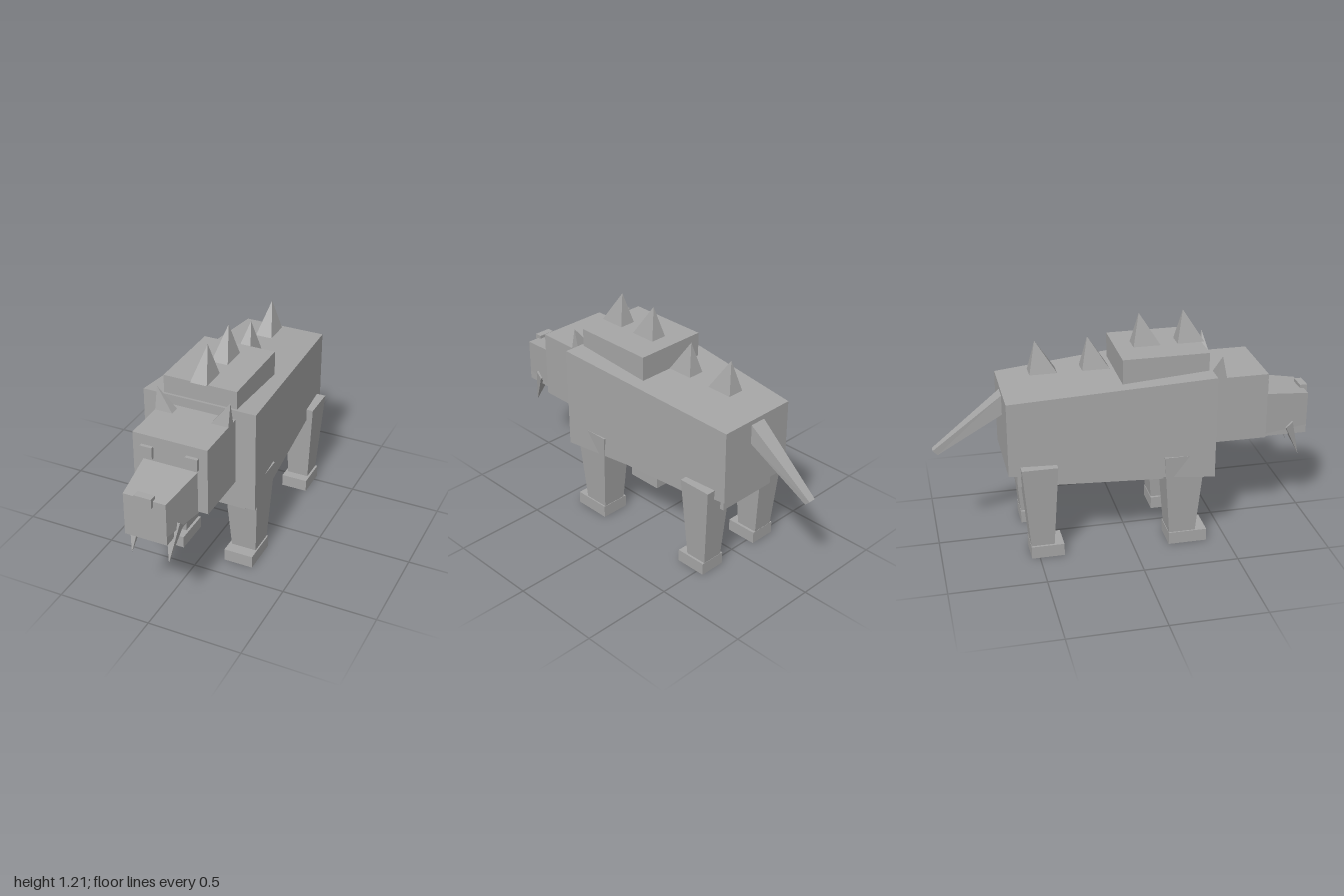
import * as THREE from 'three';

const hide = new THREE.MeshStandardMaterial({ color: 0xa6a6a6, flatShading: true });
hide.name = 'grey hide';

// Unit box whose corners are moved by a rule
function shapedBox(rule) {
  const g = new THREE.BoxGeometry(1, 1, 1);
  const p = g.attributes.position;
  for (let i = 0; i < p.count; i++) {
    p.setXYZ(i, ...rule(p.getX(i) > 0, p.getY(i) > 0, p.getZ(i) > 0));
  }
  g.computeVertexNormals();
  return g;
}

// Box tapering along z; each end is [halfWidth, bottom, top, zBottom, zTop]
function lengthwise(front, back) {
  return shapedBox((right, up, fore) => {
    const [w, y0, y1, zb, zt = zb] = fore ? front : back;
    return [right ? w : -w, up ? y1 : y0, up ? zt : zb];
  });
}

// Box tapering along y; each end is [y, xMin, xMax, zMin, zMax]
function upright(bottom, top) {
  return shapedBox((right, up, fore) => {
    const [y, x0, x1, z0, z1] = up ? top : bottom;
    return [right ? x1 : x0, y, fore ? z1 : z0];
  });
}

// Four-sided pyramid from base corners and a tip, wound outward
function pyramid(base, tip) {
  const b = base.map((c) => new THREE.Vector3(...c));
  const t = new THREE.Vector3(...tip);
  const n = b[1].clone().sub(b[0]).cross(b[2].clone().sub(b[0]));
  if (n.dot(t.clone().sub(b[0])) < 0) b.reverse();
  const pts = [b[0], b[2], b[1], b[0], b[3], b[2]];
  for (let i = 0; i < 4; i++) pts.push(b[i], b[(i + 1) % 4], t);
  const g = new THREE.BufferGeometry().setFromPoints(pts);
  g.computeVertexNormals();
  return g;
}

export function createModel() {
  const model = new THREE.Group();
  model.name = 'spikedBeast';
  const add = (name, geometry) => {
    const mesh = new THREE.Mesh(geometry, hide);
    mesh.name = name;
    model.add(mesh);
  };

  // Trunk, belly and raised back plate
  add('body', lengthwise([0.305, 0.39, 0.945, 0.42], [0.225, 0.47, 0.865, -0.64]));
  add('belly', lengthwise([0.24, 0.363, 0.55, 0.395], [0.175, 0.38, 0.55, -0.59]));
  add('backPlate', lengthwise([0.198, 0.82, 1.04, 0.405], [0.198, 0.82, 1.04, -0.045]));
  add('tail', lengthwise([0.045, 0.735, 0.84, -0.64], [0.02, 0.53, 0.555, -0.975, -1.0]));

  // Spikes along the spine: [base front z, base y]
  for (const [z, y] of [[0.42, 1.042], [0.188, 1.042], [-0.08, 0.937], [-0.35, 0.937]]) {
    const w = 0.045, back = z - 0.142;
    add('backSpike', pyramid(
      [[-w, y, z], [w, y, z], [w, y, back], [-w, y, back]], [0, y + 0.168, z - 0.106]));
  }

  // Head, muzzle, jaw and nose
  add('head', lengthwise([0.198, 0.535, 0.895, 0.725], [0.198, 0.535, 0.895, 0.40]));
  add('muzzle', lengthwise([0.112, 0.545, 0.728, 0.982], [0.145, 0.525, 0.76, 0.72]));
  add('jaw', lengthwise([0.112, 0.498, 0.55, 0.982], [0.112, 0.498, 0.53, 0.715]));
  add('nose', lengthwise([0.046, 0.698, 0.748, 1.0], [0.046, 0.698, 0.748, 0.96]));

  for (const s of [1, -1]) {
    const side = s > 0 ? 'left' : 'right';
    // Order a pair of x values after mirroring
    const span = (a, b) => (s > 0 ? [a, b] : [-b, -a]);

    add(side + 'Eye', upright(
      [0.775, ...span(0.088, 0.153), 0.70, 0.743], [0.84, ...span(0.088, 0.153), 0.70, 0.743]));
    add(side + 'Ear', pyramid(
      [[s * 0.105, 0.895, 0.5], [s * 0.198, 0.895, 0.5],
        [s * 0.198, 0.895, 0.448], [s * 0.105, 0.895, 0.448]], [s * 0.197, 1.015, 0.475]));
    add(side + 'Tusk', pyramid(
      [[s * 0.063, 0.578, 0.897], [s * 0.137, 0.578, 0.897],
        [s * 0.137, 0.545, 0.862], [s * 0.063, 0.545, 0.862]], [s * 0.1, 0.367, 0.95]));

    // Tapered legs on block feet
    add(side + 'FrontLeg', upright(
      [0.06, ...span(0.135, 0.27), 0.19, 0.33], [0.52, ...span(0.108, 0.295), 0.155, 0.37]));
    add(side + 'FrontFoot', upright(
      [0, ...span(0.12, 0.278), 0.187, 0.392], [0.067, ...span(0.12, 0.278), 0.187, 0.392]));
    add(side + 'RearLeg', upright(
      [0.06, ...span(0.135, 0.252), -0.54, -0.42], [0.52, ...span(0.115, 0.28), -0.58, -0.395]));
    add(side + 'RearFoot', upright(
      [0, ...span(0.12, 0.265), -0.542, -0.37], [0.067, ...span(0.12, 0.265), -0.542, -0.37]));
  }
  return model;
}
